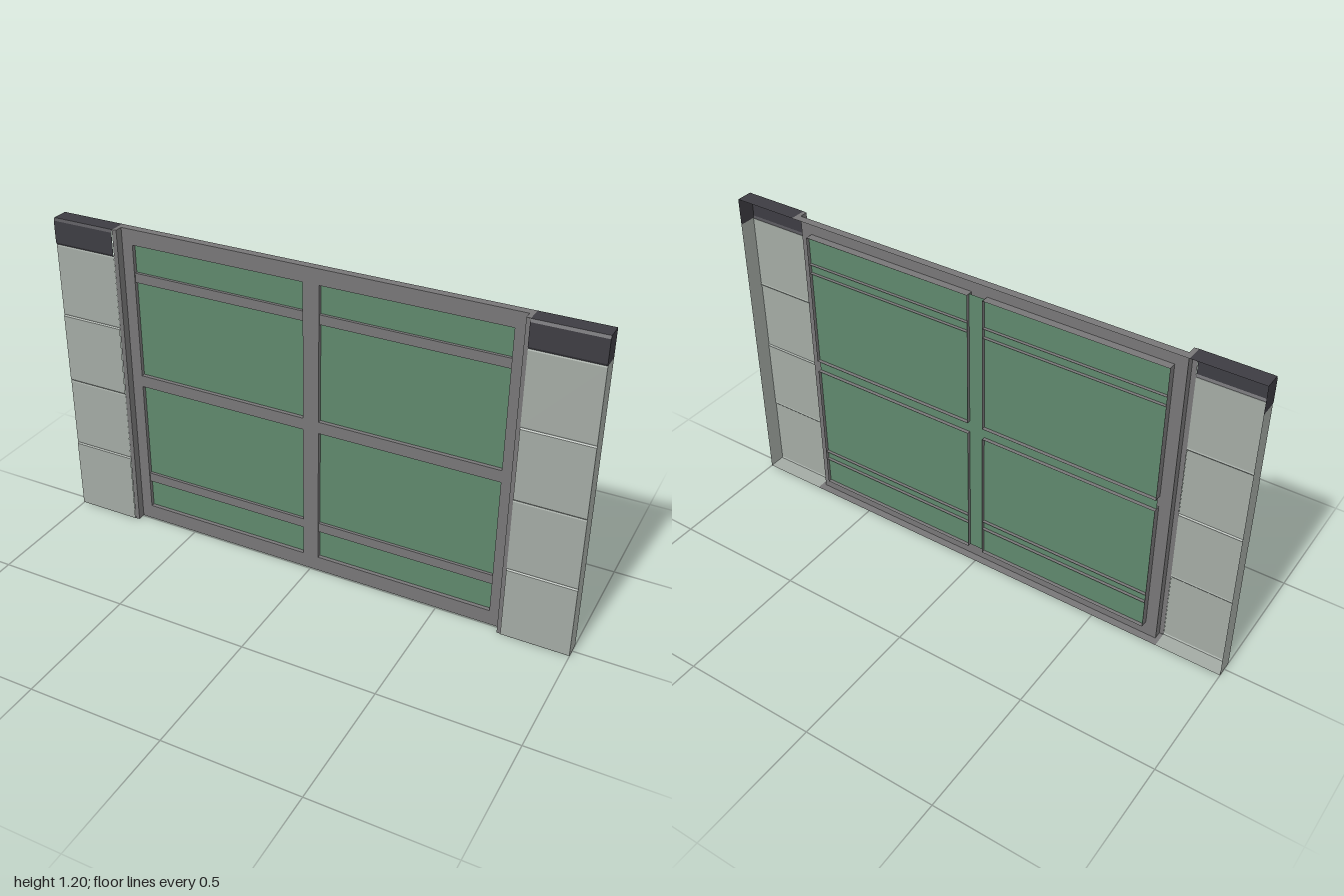
import * as THREE from 'three';

const H = 1.2, BACK = -0.033, FRONT = -0.004, GLASS = -0.019;

// All parts are thin open sheets, so every material is two-sided
const material = (name, color) => {
  const m = new THREE.MeshStandardMaterial({ color, side: THREE.DoubleSide });
  m.name = name;
  return m;
};

function add(group, name, geometry, mat) {
  const mesh = new THREE.Mesh(geometry, mat);
  mesh.name = name;
  group.add(mesh);
  return mesh;
}

function rect(T, x0, x1, y0, y1) {
  const p = new T();
  p.moveTo(x0, y0);
  p.lineTo(x1, y0);
  p.lineTo(x1, y1);
  p.lineTo(x0, y1);
  p.closePath();
  return p;
}

function fromTriangles(numbers) {
  const g = new THREE.BufferGeometry();
  g.setAttribute('position', new THREE.Float32BufferAttribute(numbers, 3));
  g.computeVertexNormals();
  return g;
}

// Sweeps an open section from t0 to t1; place(point, t) gives [x, y, z]
function sweep(section, t0, t1, place) {
  const out = [];
  for (let i = 0; i < section.length - 1; i++) {
    const a = place(section[i], t0), b = place(section[i], t1);
    const c = place(section[i + 1], t1), d = place(section[i + 1], t0);
    out.push(...a, ...b, ...c, ...a, ...c, ...d);
  }
  return fromTriangles(out);
}
const alongX = ([z, y], t) => [t, y, z];
const alongY = ([x, z], t) => [x, t, z];
const alongZ = ([x, y], t) => [x, y, t];

// Flat end wall at x filling a (z, y) outline
function endWall(outline, x) {
  const pts = outline.map(([z, y]) => new THREE.Vector2(z, y));
  const faces = THREE.ShapeUtils.triangulateShape(pts, []);
  return fromTriangles(faces.flat().flatMap((k) => [x, pts[k].y, pts[k].x]));
}

export function createModel() {
  const model = new THREE.Group();
  model.name = 'windowWall';
  const frameMat = material('frameGrey', 0x777677);
  const glassMat = material('windowGreen', 0x5f876c);
  const stoneMat = material('pillarGrey', 0xa3aaa4);
  const capMat = material('capDark', 0x3d3c42);

  // Frame sheet with four openings, each with walls running to the back
  const sheet = rect(THREE.Shape, -0.74, 0.74, 0, H);
  for (const [x0, x1] of [[-0.697, -0.03], [0.03, 0.697]]) {
    for (const [y0, y1] of [[0.058, 0.585], [0.63, 1.142]]) {
      sheet.holes.push(rect(THREE.Path, x0, x1, y0, y1));
      const loop = [[x0, y0], [x1, y0], [x1, y1], [x0, y1], [x0, y0]];
      add(model, 'openingWalls', sweep(loop, FRONT, BACK, alongZ), frameMat);
    }
    // Narrow crossbars, open at the back
    for (const y of [0.188, 1.018]) {
      const a = y - 0.018, b = y + 0.018;
      const bar = [[BACK + 0.002, a], [FRONT - 0.004, a], [FRONT - 0.004, b], [BACK + 0.002, b]];
      add(model, 'crossbar', sweep(bar, x0, x1, alongX), frameMat);
    }
  }
  add(model, 'windowFrame', new THREE.ShapeGeometry(sheet), frameMat).position.z = FRONT;

  // Top and bottom edges of the frame
  for (const y of [0, H]) {
    add(model, 'frameEdge', sweep([[BACK, y], [FRONT, y]], -0.74, 0.74, alongX), frameMat);
  }

  // One window sheet behind all the openings
  add(model, 'windowSheet', new THREE.PlaneGeometry(1.394, 1.084), glassMat).position.set(0, 0.6, GLASS);

  // Pillar profile: four stacked blocks with chamfered joints
  const blocks = [[BACK, 0], [0.029, 0]];
  const joints = [0, 0.28, 0.553, 0.825, 1.1];
  for (let i = 0; i < 4; i++) {
    const z = i % 2 ? 0.03 : 0.032;
    blocks.push([z, joints[i] + 0.005], [z, joints[i + 1] - 0.005], [0.028, joints[i + 1]]);
  }
  const cap = [[0.028, 1.1], [0.033, 1.108], [0.033, 1.19], [0.028, H], [BACK, H]];

  for (const s of [-1, 1]) {
    const side = new THREE.Group();
    side.name = s > 0 ? 'leftPillar' : 'rightPillar';
    // Hollow pillar and its cap, open at the back
    for (const [name, profile, mat] of [['pillarBlocks', blocks, stoneMat], ['pillarCap', cap, capMat]]) {
      add(side, name, sweep(profile, s * 0.754, s, alongX), mat);
      add(side, name + 'OuterWall', endWall([...profile, [BACK, 1.1]], s), mat);
    }
    // Upright return between frame and pillar
    const post = [[s * 0.739, FRONT], [s * 0.739, 0.026], [s * 0.755, 0.028]];
    add(side, 'sidePost', sweep(post, 0, H, alongY), frameMat);
    for (const y of [0, H]) {
      add(side, 'postEnd', sweep([[BACK, y], [0.026, y]], s * 0.739, s * 0.754, alongX), frameMat);
    }
    model.add(side);
  }
  return model;
}
